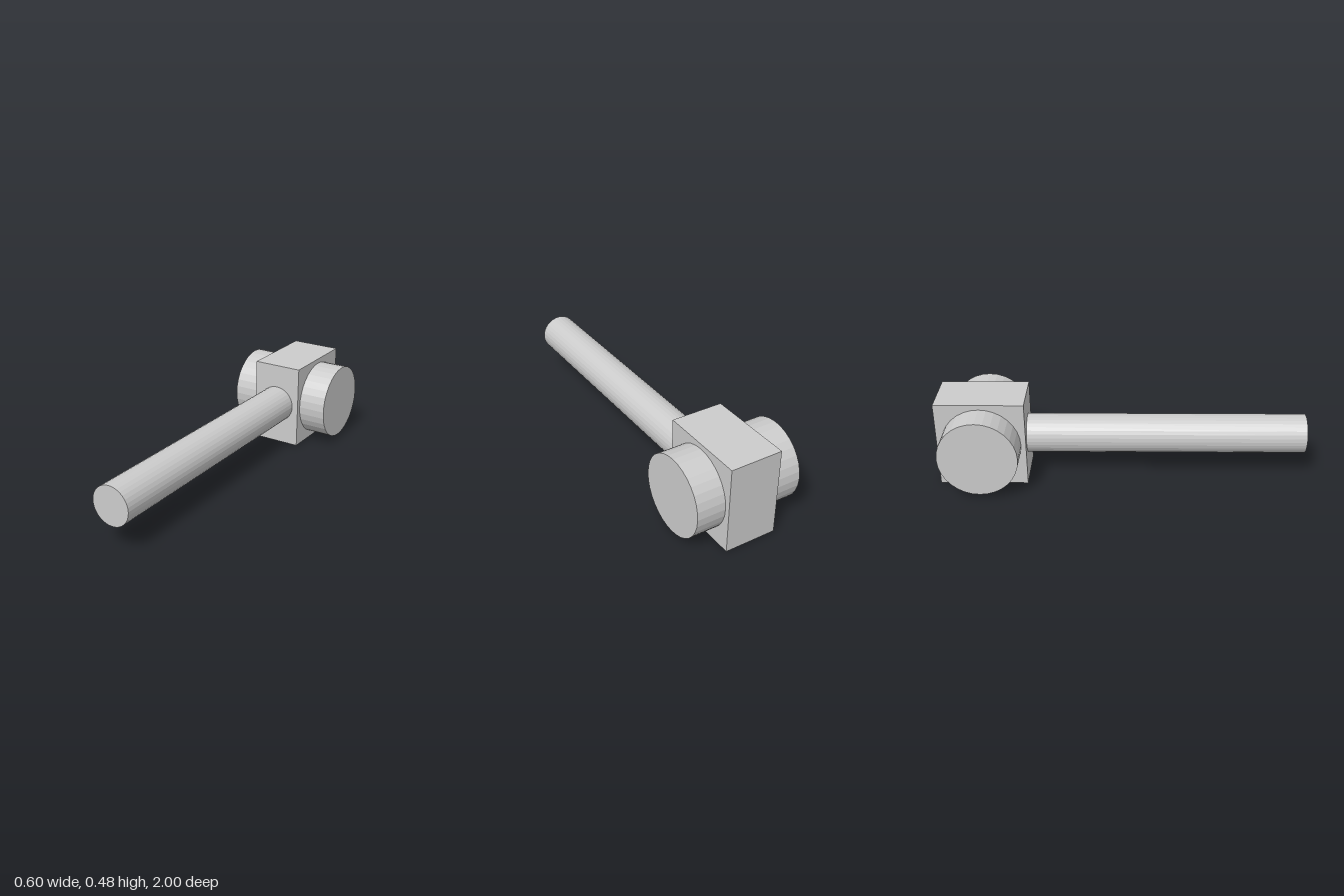
import * as THREE from 'three';

export function createModel() {
  const group = new THREE.Group();
  group.name = 'mallet';
  const material = new THREE.MeshStandardMaterial({ color: 0xcccccc, flatShading: true });
  const centreY = 0.24, headZ = -0.76;

  const add = (name, geometry, x, z) => {
    const mesh = new THREE.Mesh(geometry, material);
    mesh.name = name;
    mesh.position.set(x, centreY, z);
    group.add(mesh);
  };

  // Square block at the centre of the head
  add('headBlock', new THREE.BoxGeometry(0.286, 0.48, 0.48), 0, headZ);

  // Round striking face on each side of the block
  for (const [name, side] of [['leftFace', 1], ['rightFace', -1]]) {
    const face = new THREE.CylinderGeometry(0.2135, 0.2135, 0.157, 32).rotateZ(Math.PI / 2);
    add(name, face, side * 0.2215, headZ);
  }

  // Long handle running forward from the block
  add('handle', new THREE.CylinderGeometry(0.107, 0.107, 1.52, 32).rotateX(Math.PI / 2), 0, 0.24);

  return group;
}
